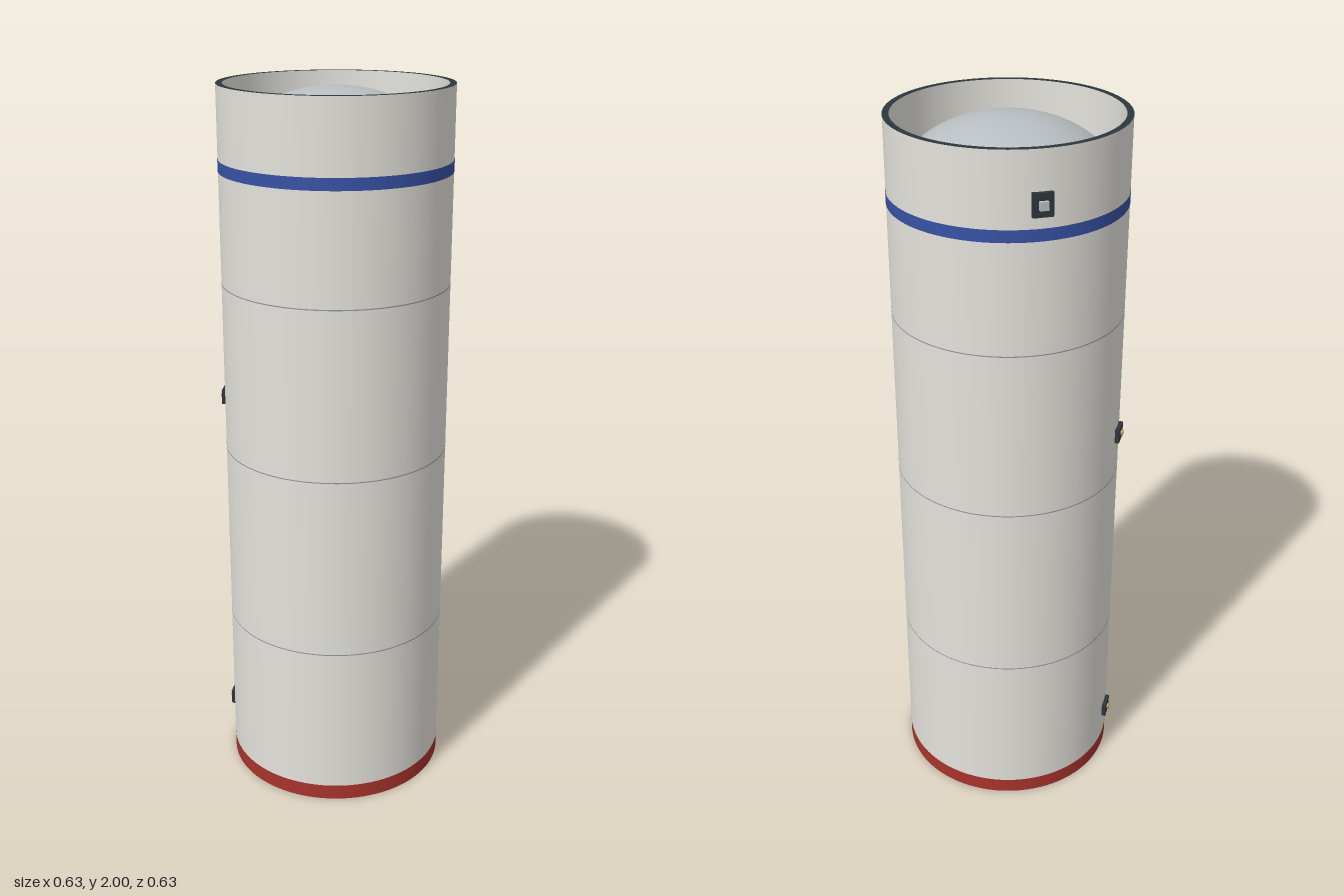
import * as THREE from 'three';

const R = 0.3122, RI = 0.295, SEG = 96;

const mat = (name, color, side = THREE.FrontSide) => {
  const m = new THREE.MeshStandardMaterial({ color, side });
  m.name = name;
  return m;
};

export function createModel() {
  const shellWhite = mat('shell white', 0xe4e2db, THREE.DoubleSide);
  const blue = mat('band blue', 0x3652a4, THREE.DoubleSide);
  const red = mat('band red', 0xa8332b, THREE.DoubleSide);
  const dark = mat('dark trim', 0x2c363c, THREE.DoubleSide);
  const seamGrey = mat('seam grey', 0x94979a, THREE.DoubleSide);
  const silver = mat('dome silver', 0xb8bec1, THREE.DoubleSide);
  const baseGrey = mat('base grey', 0xa0a4a8, THREE.DoubleSide);
  const gold = mat('pipe gold', 0xbd9140);

  const root = new THREE.Group();
  root.name = 'tankStage';
  const add = (name, geo, material, x = 0, y = 0, z = 0, parent = root) => {
    const m = new THREE.Mesh(geo, material);
    m.name = name;
    m.position.set(x, y, z);
    parent.add(m);
    return m;
  };
  // Open cylinder between two heights
  const sleeve = (name, r, y0, y1, material) =>
    add(name, new THREE.CylinderGeometry(r, r, y1 - y0, SEG, 1, true), material, 0, (y0 + y1) / 2, 0);

  // Outer shell and inner skirt walls
  sleeve('outerShell', R, 0.045, 2, shellWhite);
  sleeve('upperSkirtInside', RI, 1.77, 2, shellWhite);
  sleeve('lowerSkirtInside', RI, 0.018, 0.25, shellWhite);

  // Painted bands and section seams
  sleeve('blueBand', R + 0.0008, 1.775, 1.807, blue);
  sleeve('redBandOutside', R, 0, 0.045, red);
  sleeve('redBandInside', RI, 0, 0.018, red);
  for (const y of [0.48, 1.002, 1.475]) sleeve('seam', R + 0.0004, y - 0.0015, y + 0.0015, seamGrey);

  // Flat end rims
  for (const y of [0, 2]) {
    const rim = add('endRim', new THREE.RingGeometry(RI, R, SEG), dark, 0, y, 0);
    rim.rotation.x = y ? -Math.PI / 2 : Math.PI / 2;
  }

  // Elliptical bulkheads
  const halfBall = new THREE.SphereGeometry(RI, SEG, 24, 0, Math.PI * 2, 0, Math.PI / 2);
  add('upperDome', halfBall, silver, 0, 1.79, 0).scale.y = 0.68;
  add('lowerDome', halfBall, baseGrey, 0, 0.23, 0).scale.set(1, -0.48, 1);

  // Base plate held by three radial struts
  add('basePlate', new THREE.CylinderGeometry(0.225, 0.225, 0.012, 64), baseGrey, 0, 0.046, 0);
  for (let i = 0; i < 3; i++) {
    const arm = new THREE.Group();
    arm.name = 'strut';
    arm.rotation.y = -Math.PI / 2 + (i * Math.PI * 2) / 3;
    add('strutBar', new THREE.BoxGeometry(0.075, 0.011, 0.011), dark, 0.257, 0.046, 0, arm);
    root.add(arm);
  }

  // Fittings under the base plate
  add('crossBar', new THREE.BoxGeometry(0.26, 0.006, 0.008), dark, 0, 0.037, 0.01);
  for (const x of [-0.045, 0, 0.045]) {
    add('nozzleCollar', new THREE.CylinderGeometry(0.019, 0.019, 0.008, 20), gold, x, 0.036, 0.01);
    add('nozzle', new THREE.CylinderGeometry(0.013, 0.016, 0.026, 20), shellWhite, x, 0.02, 0.01);
  }
  add('ventStub', new THREE.CylinderGeometry(0.013, 0.013, 0.038, 20), shellWhite, -0.06, 0.021, -0.1);

  // Vent pipes on the skirt walls
  const pipe = (name, pts) => {
    const path = new THREE.CurvePath();
    const v = pts.map(([x, y]) => new THREE.Vector3(x, y, 0));
    for (let i = 1; i < v.length; i++) path.add(new THREE.LineCurve3(v[i - 1], v[i]));
    add(name, new THREE.TubeGeometry(path, 40, 0.0055, 8), gold);
  };
  pipe('upperVentPipe', [[-0.289, 1.85], [-0.289, 1.933], [-0.203, 1.933]]);
  pipe('lowerVentPipe', [[-0.289, 0.02], [-0.289, 0.08]]);

  // Service connectors on the outside of the shell
  const connector = (name, y, side, h, plug) => {
    const g = new THREE.Group();
    g.name = name;
    g.rotation.y = Math.PI + side * Math.PI / 6;
    g.position.y = y;
    add('connectorPlate', new THREE.BoxGeometry(0.014, h, 0.052), dark, 0.316, 0, 0, g);
    if (side > 0) {
      const p = add('connectorPlug', new THREE.CylinderGeometry(0.008, 0.008, 0.008, 16), plug, 0.325, 0, 0, g);
      p.rotation.z = Math.PI / 2;
    } else {
      add('connectorPlug', new THREE.BoxGeometry(0.01, 0.022, 0.022), plug, 0.327, 0, 0, g);
      add('connectorPin', new THREE.BoxGeometry(0.004, 0.045, 0.008), dark, 0.2945, 0.03, 0, g);
    }
    root.add(g);
  };
  connector('upperFrontConnector', 1.13, 1, 0.042, gold);
  connector('lowerFrontConnector', 0.14, 1, 0.042, gold);
  connector('rearConnector', 1.868, -1, 0.06, silver);

  return root;
}
